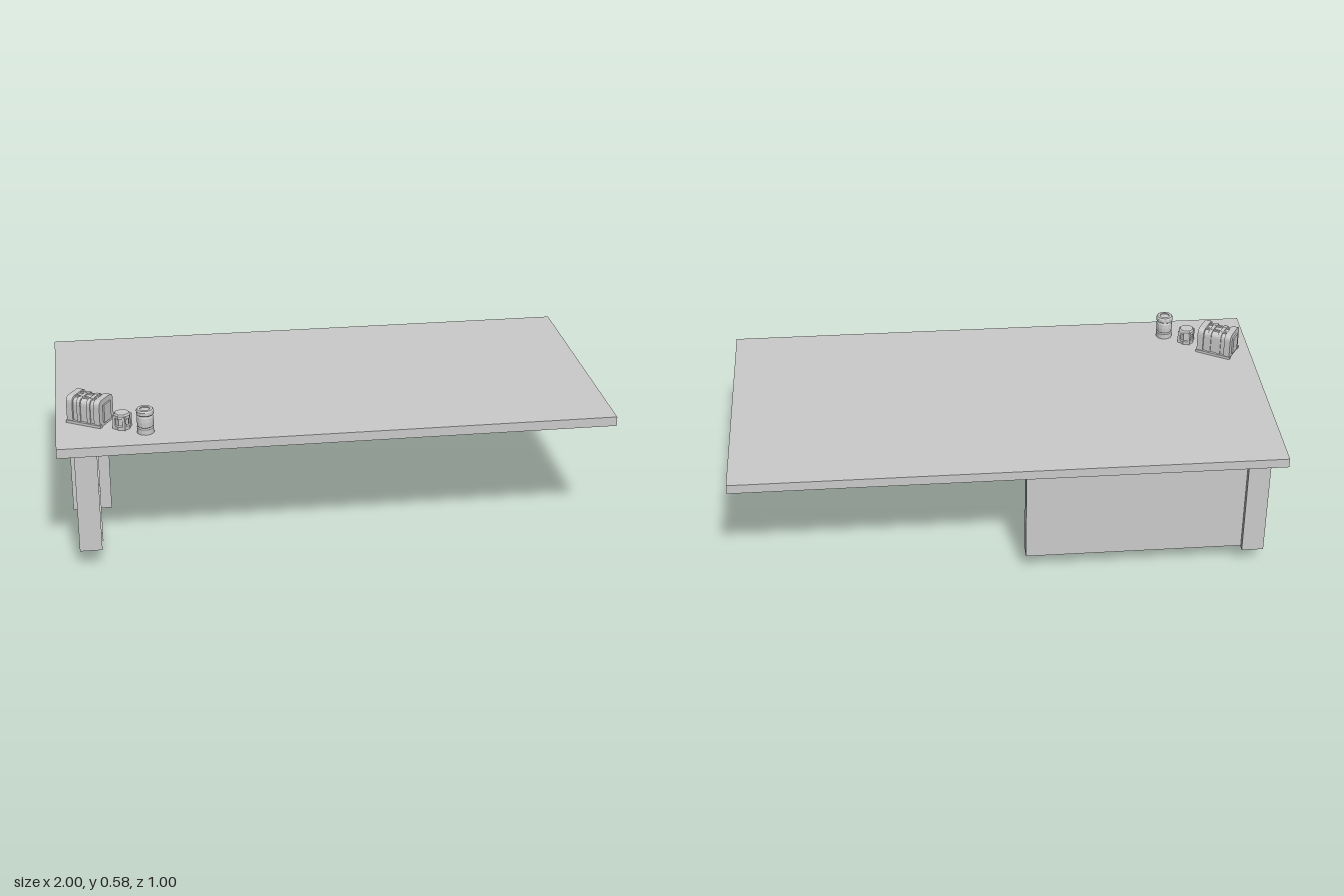
import * as THREE from 'three';

const mat = new THREE.MeshStandardMaterial({ color: 0xcccccc, flatShading: true });

function add(parent, name, geo, x = 0, y = 0, z = 0) {
  const m = new THREE.Mesh(geo, mat);
  m.name = name;
  m.position.set(x, y, z);
  parent.add(m);
  return m;
}

// box given by its limits on each axis
function block(parent, name, [x0, x1], [y0, y1], [z0, z1]) {
  return add(parent, name, new THREE.BoxGeometry(x1 - x0, y1 - y0, z1 - z0),
    (x0 + x1) / 2, (y0 + y1) / 2, (z0 + z1) / 2);
}

// slab with chamfered shoulders, running along x from x0 to x1
function shoulderSlab(parent, name, x0, x1, halfWidth, height, r) {
  const s = new THREE.Shape();
  s.moveTo(-halfWidth, 0);
  s.lineTo(halfWidth, 0);
  s.lineTo(halfWidth, height - r);
  s.quadraticCurveTo(halfWidth, height, halfWidth - r, height);
  s.lineTo(-halfWidth + r, height);
  s.quadraticCurveTo(-halfWidth, height, -halfWidth, height - r);
  s.closePath();
  const g = new THREE.ExtrudeGeometry(s, { depth: x1 - x0, bevelEnabled: false, curveSegments: 4 });
  g.rotateY(Math.PI / 2);
  return add(parent, name, g, x0, 0, 0);
}

function turned(parent, name, profile, sides) {
  return add(parent, name, new THREE.LatheGeometry(profile.map(p => new THREE.Vector2(...p)), sides));
}

function createModel() {
  const model = new THREE.Group();
  model.name = 'desk';
  const under = 0.445, top = 0.48;

  block(model, 'tabletop', [-1, 1], [under, top], [-0.5, 0.5]);

  // end support: two legs, centre post, recessed panel and rails
  const end = new THREE.Group();
  end.name = 'endSupport';
  model.add(end);
  block(end, 'frontLeg', [-0.94, -0.86], [0.065, under], [0.4, 0.48]);
  block(end, 'backLeg', [-0.94, -0.86], [0.065, under], [-0.48, -0.4]);
  block(end, 'centrePost', [-0.96, -0.815], [0, under], [-0.022, 0.025]);
  block(end, 'endPanel', [-0.89, -0.86], [0.07, under], [-0.41, 0.41]);
  for (const y of [0.07, 0.265])
    block(end, 'rail', [-0.925, -0.855], [y, y + 0.03], [-0.41, 0.418]);

  block(model, 'backPanel', [-0.88, -0.06], [0.07, under], [-0.458, -0.4]);

  // large container: core with thicker end frames, ribs and a base flange
  const box = new THREE.Group();
  box.name = 'largeContainer';
  box.position.set(-0.876, top, 0.267);
  box.rotation.y = -0.54;
  model.add(box);
  shoulderSlab(box, 'core', -0.064, 0.064, 0.042, 0.092, 0.02);
  for (const s of [-1, 1]) {
    shoulderSlab(box, 'endFrame', s * 0.055 - 0.012, s * 0.055 + 0.012, 0.049, 0.1, 0.022);
    shoulderSlab(box, 'innerRib', s * 0.02 - 0.007, s * 0.02 + 0.007, 0.046, 0.097, 0.022);
    block(box, 'endPlate', [s * 0.069 - 0.004, s * 0.069 + 0.004], [0.012, 0.08], [-0.024, 0.024]);
    block(box, 'topBar', [-0.05, 0.05], [0.08, 0.098], [s * 0.018 - 0.004, s * 0.018 + 0.004]);
    block(box, 'baseFlange', [-0.07, 0.07], [0, 0.01], [s * 0.045 - 0.007, s * 0.045 + 0.007]);
  }

  // small faceted container with a corner-post frame
  const pot = new THREE.Group();
  pot.name = 'smallContainer';
  pot.position.set(-0.765, top, 0.343);
  pot.rotation.y = -0.54;
  model.add(pot);
  turned(pot, 'potBody', [[0, 0], [0.031, 0], [0.031, 0.012], [0.026, 0.015], [0.026, 0.038],
    [0.031, 0.041], [0.031, 0.052], [0.026, 0.058], [0, 0.058]], 8);
  for (const sx of [-1, 1]) for (const sz of [-1, 1])
    block(pot, 'cornerPost', [sx * 0.02 - 0.005, sx * 0.02 + 0.005], [0, 0.05],
      [sz * 0.02 - 0.005, sz * 0.02 + 0.005]);

  // round canister with base band and lid
  const can = new THREE.Group();
  can.name = 'canister';
  can.position.set(-0.685, top, 0.393);
  model.add(can);
  turned(can, 'canisterBody', [[0, 0], [0.031, 0], [0.031, 0.02], [0.027, 0.024], [0.03, 0.028],
    [0.031, 0.045], [0.03, 0.062], [0.027, 0.068], [0.032, 0.072], [0.032, 0.084],
    [0.028, 0.09], [0.018, 0.09], [0.018, 0.086], [0, 0.086]], 14);

  return model;
}

export { createModel };
